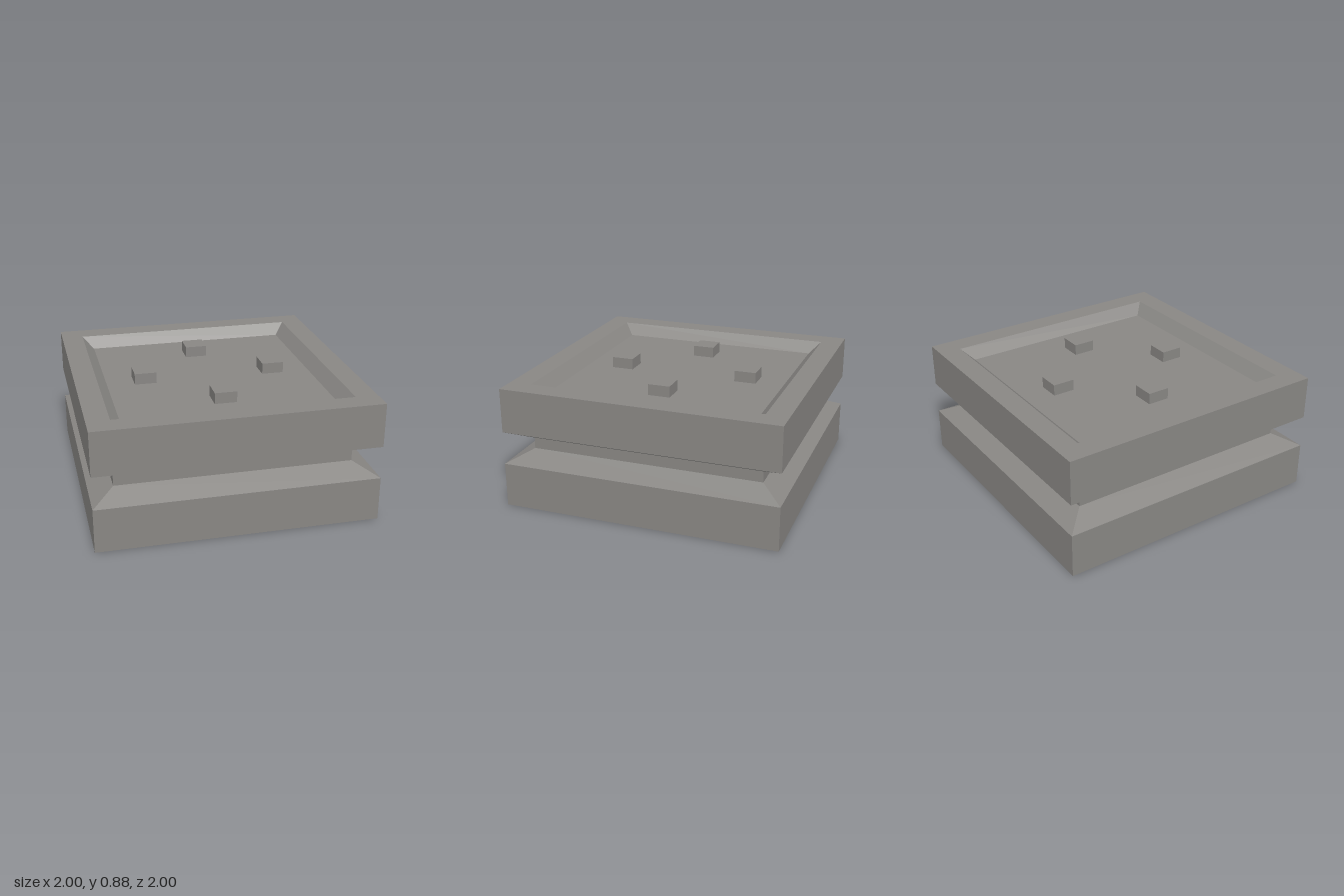
import * as THREE from 'three';

const stone = new THREE.MeshStandardMaterial({ color: 0x888683 });
stone.name = 'stoneGrey';

// Square turned shape from [halfWidth, y] points, listed from bottom to top.
function squareProfile(name, points) {
  const profile = points.map(([half, y]) => new THREE.Vector2(half * Math.SQRT2, y));
  const geometry = new THREE.LatheGeometry(profile, 4, Math.PI / 4).toNonIndexed();
  geometry.computeVertexNormals();
  const mesh = new THREE.Mesh(geometry, stone);
  mesh.name = name;
  return mesh;
}

export function createModel() {
  const model = new THREE.Group();
  model.name = 'pedestal';

  // Lower slab with sloped shoulders, narrow neck, upper slab with recessed floor
  model.add(
    squareProfile('base', [[0, 0], [1, 0], [1, 0.32], [0.84, 0.4]]),
    squareProfile('neck', [[0.84, 0.4], [0.84, 0.48]]),
    squareProfile('tray', [[0.84, 0.48], [1, 0.56], [1, 0.88], [0.84, 0.88], [0.76, 0.8], [0, 0.8]])
  );

  // Four small studs standing on the tray floor
  const studGeometry = new THREE.BoxGeometry(0.16, 0.08, 0.16);
  for (const [x, z] of [[0.48, 0], [-0.48, 0], [0, 0.48], [0, -0.48]]) {
    const stud = new THREE.Mesh(studGeometry, stone);
    stud.name = 'stud';
    stud.position.set(x, 0.84, z);
    model.add(stud);
  }
  return model;
}
